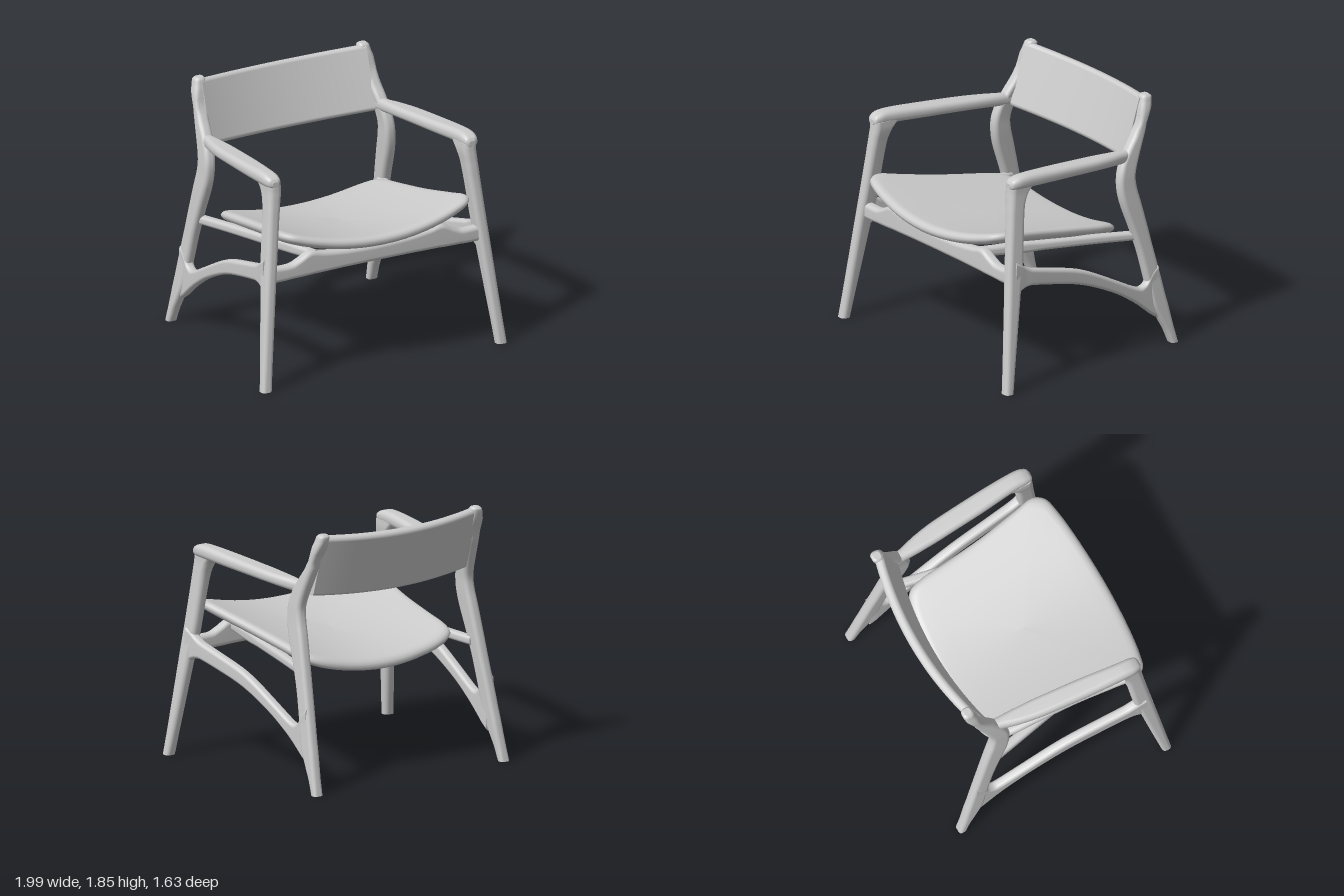
import * as THREE from 'three';

const V = (x, y, z) => new THREE.Vector3(x, y, z);

// Closed skin over rings of points, with flat end caps and outward faces.
function skin(rings) {
  const pos = [], idx = [], n = rings[0].length;
  const push = p => pos.push(p.x, p.y, p.z);
  rings.forEach(r => r.forEach(push));
  for (let i = 0; i < rings.length - 1; i++) for (let j = 0; j < n; j++) {
    const a = i * n + j, b = i * n + (j + 1) % n;
    idx.push(a, b, a + n, b, b + n, a + n);
  }
  [rings[0], rings[rings.length - 1]].forEach((ring, end) => {
    const base = pos.length / 3, mid = V(0, 0, 0);
    ring.forEach(p => { push(p); mid.addScaledVector(p, 1 / n); });
    push(mid);
    for (let j = 0; j < n; j++) {
      const a = base + j, b = base + (j + 1) % n;
      if (end) idx.push(a, b, base + n); else idx.push(b, a, base + n);
    }
  });
  // Turn the faces outward by the sign of the enclosed volume.
  const at = i => V(pos[3 * i], pos[3 * i + 1], pos[3 * i + 2]);
  let volume = 0;
  for (let i = 0; i < idx.length; i += 3) volume += at(idx[i]).dot(at(idx[i + 1]).cross(at(idx[i + 2])));
  if (volume < 0) idx.reverse();
  const g = new THREE.BufferGeometry();
  g.setAttribute('position', new THREE.Float32BufferAttribute(pos, 3));
  g.setIndex(idx);
  g.computeVertexNormals();
  return g;
}

// Rounded rectangle as [a, b] pairs.
function roundedRect(ra, rb, round) {
  const r = round * Math.min(ra, rb), out = [];
  for (let q = 0; q < 4; q++) for (let k = 0; k <= 5; k++) {
    const t = (q + k / 5) * Math.PI / 2;
    const sa = q === 0 || q === 3 ? 1 : -1, sb = q < 2 ? 1 : -1;
    out.push([sa * (ra - r) + r * Math.cos(t), sb * (rb - r) + r * Math.sin(t)]);
  }
  return out;
}

// Smooth loft through stations [along, side centre, side half-width, low, high].
function loft(stations, place, round = 0.75) {
  const mid = new THREE.CatmullRomCurve3(stations.map(s => V(s[0], s[1], (s[3] + s[4]) / 2)));
  const size = new THREE.CatmullRomCurve3(stations.map(s => V(s[2], (s[4] - s[3]) / 2, 0)));
  const n = (stations.length - 1) * 4, rings = [];
  for (let i = 0; i <= n; i++) {
    const c = mid.getPoint(i / n), h = size.getPoint(i / n);
    rings.push(roundedRect(h.x, h.y, round).map(([a, b]) => place(c.x, c.y + a, c.z + b)));
  }
  return skin(rings);
}

// Stations by height: [y, x, half-width, back z, front z]
const FRONT_LEG = [
  [0, .957, .04, .735, .805], [.35, .917, .041, .672, .765], [.73, .874, .043, .605, .722],
  [.9, .854, .044, .572, .703], [1.2, .820, .047, .540, .669], [1.34, .804, .05, .518, .654],
  [1.42, .795, .053, .480, .645], [1.48, .795, .053, .42, .64]];
const REAR_LEG = [
  [0, .817, .038, -.815, -.755], [.1, .811, .039, -.79, -.713], [.2, .804, .04, -.766, -.66],
  [.32, .796, .04, -.737, -.605], [.5, .784, .04, -.693, -.565], [.7, .77, .041, -.643, -.518],
  [.9, .757, .042, -.594, -.455], [1.1, .744, .043, -.543, -.385], [1.2, .737, .043, -.516, -.366],
  [1.29, .732, .043, -.507, -.366], [1.39, .722, .044, -.535, -.395], [1.49, .71, .046, -.575, -.455],
  [1.6, .697, .046, -.62, -.53], [1.79, .673, .046, -.69, -.6], [1.83, .667, .042, -.695, -.612],
  [1.845, .665, .028, -.678, -.628]];
// Stations by depth: [z, x, half-width, bottom y, top y]
const ARM = [
  [.645, .80, .025, 1.465, 1.50], [.63, .802, .047, 1.457, 1.522], [.58, .805, .06, 1.453, 1.543],
  [.5, .804, .063, 1.45, 1.548], [.19, .779, .072, 1.438, 1.526], [-.13, .752, .071, 1.42, 1.502],
  [-.3, .733, .06, 1.405, 1.489], [-.43, .714, .043, 1.39, 1.48], [-.5, .706, .038, 1.39, 1.475]];
const SIDE_ARCH = [
  [.65, .872, .036, .68, .94], [.6, .868, .036, .71, .915], [.56, .864, .036, .725, .885],
  [.5, .86, .036, .728, .855], [.32, .846, .036, .69, .808], [.03, .825, .036, .613, .725],
  [-.27, .807, .036, .478, .577], [-.45, .796, .036, .365, .482], [-.51, .793, .036, .32, .462],
  [-.56, .791, .036, .278, .485], [-.61, .789, .036, .235, .56], [-.66, .789, .034, .2, .6]];
const SEAT_RAIL = [
  [.655, .49, .036, .865, .935], [.2, .587, .036, .842, .912], [-.2, .672, .036, .822, .888],
  [-.53, .742, .036, .80, .863]];
// Stations by width: [x, z, half-depth, bottom y, top y]
const HALF_STRETCHER = [
  [.87, .65, .04, .755, .872], [.7, .65, .042, .757, .868], [.62, .65, .043, .759, .897],
  [.53, .65, .043, .762, .938], [.43, .65, .043, .764, .92], [.25, .65, .043, .767, .9]];

// Dished seat pad: an outline scaled in rings, draped over a sloping saddle surface.
function seatGeometry() {
  const half = [[0, .812], [.35, .795], [.62, .755], [.72, .72], [.768, .64], [.75, .5], [.705, .2],
    [.68, -.1], [.662, -.32], [.63, -.41], [.54, -.462], [.3, -.492], [0, -.505]];
  const all = [...half, ...half.slice(1, -1).reverse().map(([x, z]) => [-x, z])];
  const outline = new THREE.CatmullRomCurve3(all.map(([x, z]) => V(x, 0, z)), true).getPoints(96).slice(0, -1);
  const layers = [[.01, 0], [.25, 0], [.5, 0], [.75, 0], [.9, 0], [.94, -.003], [.97, -.012], [.99, -.026],
    [1, -.045], [.99, -.062], [.97, -.074], [.93, -.082], [.75, -.082], [.5, -.082], [.25, -.082], [.01, -.082]];
  const zc = .15;
  return skin(layers.map(([s, drop]) => outline.map(p => {
    const x = p.x * s, z = zc + (p.z - zc) * s;
    return V(x, .885 + .15 * z + .25 * x * x + drop, z);
  })));
}

// Curved, reclined backrest panel swept across the width.
function backGeometry() {
  const rings = [], section = roundedRect(.037, .237, .8);
  for (let i = 0; i <= 32; i++) {
    const x = -.67 + 1.34 * i / 32, bow = .2 * x * x;
    rings.push(section.map(([n, u]) =>
      V(x, 1.577 + .296 * (n + bow) + .955 * u, -.66 + .955 * (n + bow) - .296 * u)));
  }
  return skin(rings);
}

export function createModel() {
  const model = new THREE.Group();
  model.name = 'armchair';
  const grey = new THREE.MeshStandardMaterial({ color: 0xcccccc });
  grey.name = 'light grey';
  const add = (name, geometry) => {
    const mesh = new THREE.Mesh(geometry, grey);
    mesh.name = name;
    model.add(mesh);
  };

  // Mirrored side frames
  for (const [side, label] of [[1, 'left'], [-1, 'right']]) {
    const upright = (s, a, b) => V(side * a, s, b);
    const lengthwise = (s, a, b) => V(side * a, b, s);
    add(label + ' front leg', loft(FRONT_LEG, upright));
    add(label + ' rear leg and back post', loft(REAR_LEG, upright));
    add(label + ' armrest', loft(ARM, lengthwise, .85));
    add(label + ' side arch', loft(SIDE_ARCH, lengthwise));
    add(label + ' seat rail', loft(SEAT_RAIL, lengthwise));
  }

  // Front stretcher with two raised seat supports
  const stretcher = [...HALF_STRETCHER, [0, .65, .043, .768, .892],
    ...[...HALF_STRETCHER].reverse().map(([x, ...rest]) => [-x, ...rest])];
  add('front stretcher', loft(stretcher, (s, a, b) => V(s, b, a)));

  add('seat', seatGeometry());
  add('backrest', backGeometry());
  return model;
}
